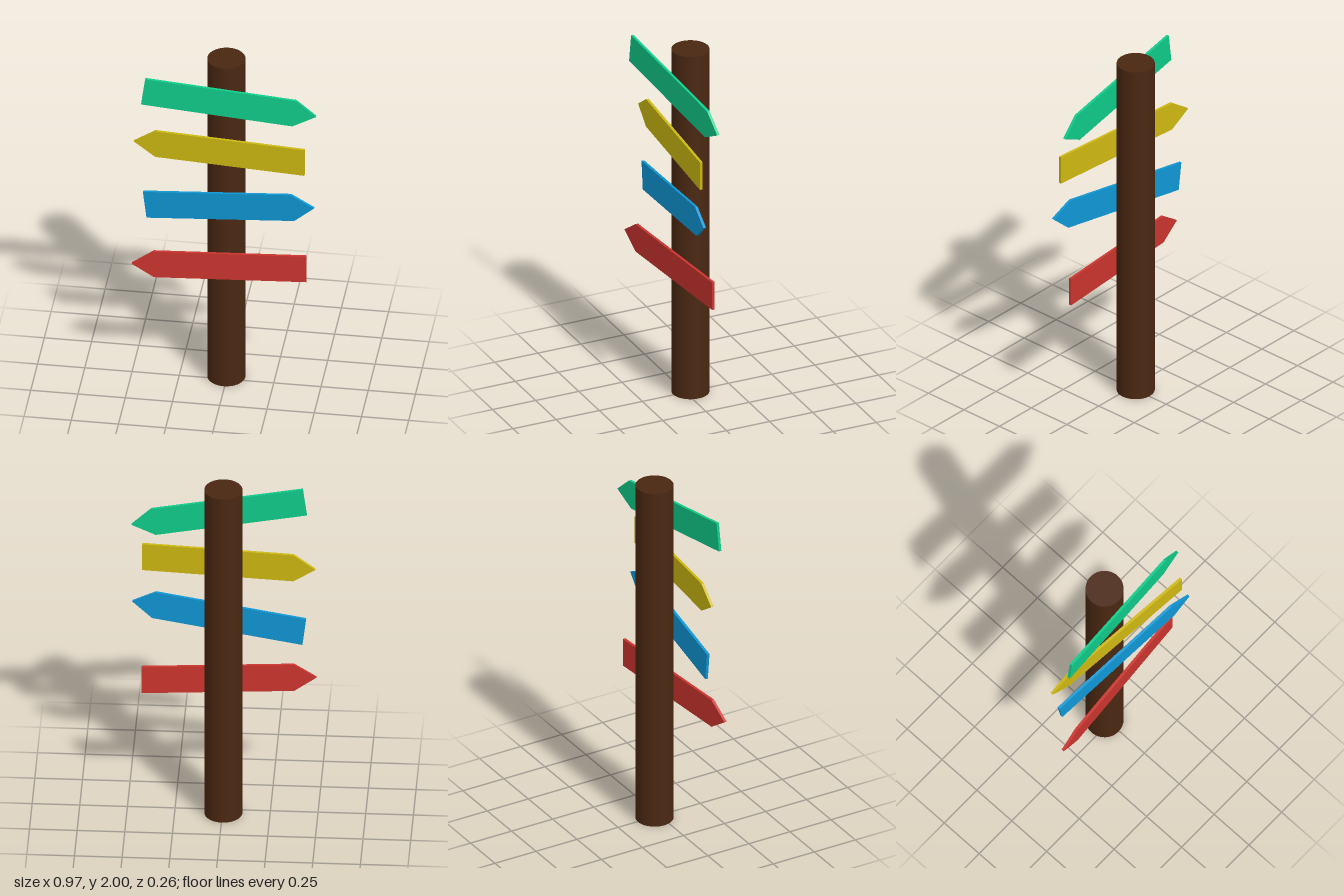
import * as THREE from 'three';

const mat = (name, color) => {
  const m = new THREE.MeshStandardMaterial({ color });
  m.name = name;
  return m;
};

// Arrow-shaped board, pointing to +x (dir = 1) or -x (dir = -1)
function arrowBoard(dir) {
  const half = 0.08, thick = 0.015;
  const outline = [[-0.43, -half], [0.37, -half], [0.486, 0], [0.37, half], [-0.43, half]];
  const shape = new THREE.Shape(outline.map(([x, y]) => new THREE.Vector2(x * dir, y)));
  const geo = new THREE.ExtrudeGeometry(shape, { depth: thick, bevelEnabled: false });
  return geo.translate(0, 0, -thick / 2);
}

export function createModel() {
  const group = new THREE.Group();
  group.name = 'signpost';

  // Round wooden post
  const post = new THREE.Mesh(new THREE.CylinderGeometry(0.1, 0.1, 2, 48), mat('darkWood', 0x4a2711));
  post.name = 'post';
  post.position.set(-0.005, 1, -0.031);
  group.add(post);

  // Direction boards: name, colour, height, pointing side, yaw, tilt
  const boards = [
    ['greenSign', 0x10cb8a, 1.79, 1, 0.083, -0.134],
    ['yellowSign', 0xcdb811, 1.48, -1, -0.083, 0],
    ['blueSign', 0x0f97d5, 1.142, 1, -0.083, 0.122],
    ['redSign', 0xcb342e, 0.763, -1, 0.083, 0],
  ];
  for (const [name, color, y, dir, yaw, tilt] of boards) {
    const board = new THREE.Mesh(arrowBoard(dir), mat(name + 'Paint', color));
    board.name = name;
    board.position.set(0, y, 0.077);
    board.rotation.set(0, yaw, tilt);
    group.add(board);
  }
  return group;
}
